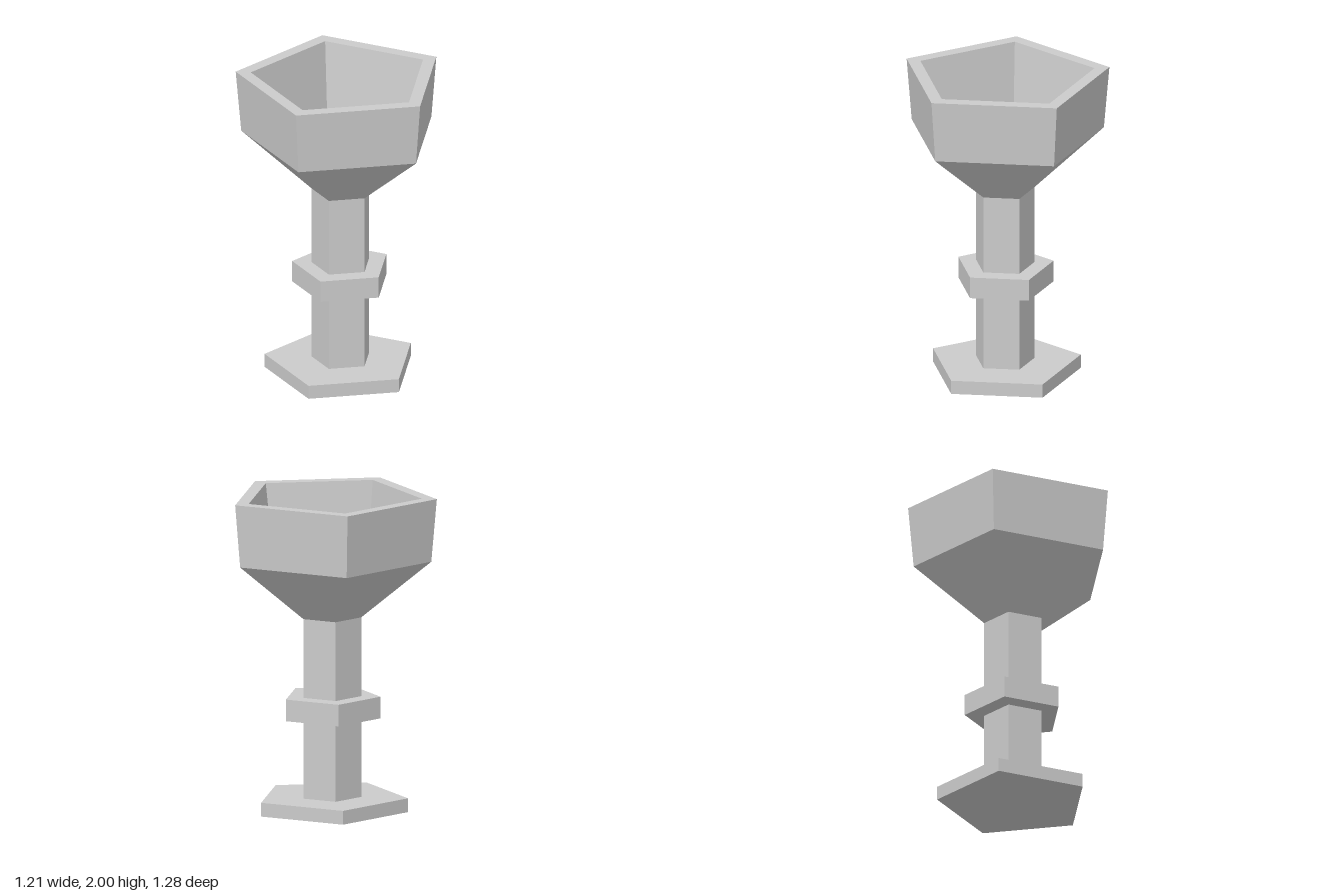
import * as THREE from 'three';

const SIDES = 5;

export function createModel() {
  const model = new THREE.Group();
  model.name = 'goblet';
  const material = new THREE.MeshStandardMaterial({ color: 0xcccccc, flatShading: true });

  // The pentagons share one axis, set back so the bowl is centred in x.
  const axisX = -0.064;

  function add(name, geometry) {
    const mesh = new THREE.Mesh(geometry, material);
    mesh.name = name;
    mesh.position.x = axisX;
    model.add(mesh);
  }

  // Pentagonal prism with one corner pointing to +x.
  function prism(name, radius, bottom, top) {
    const geometry = new THREE.CylinderGeometry(radius, radius, top - bottom, SIDES, 1, false, Math.PI / 2);
    geometry.translate(0, (bottom + top) / 2, 0);
    add(name, geometry);
  }

  prism('base', 0.489, 0, 0.088);
  prism('stem', 0.193, 0.088, 1.232);
  prism('stemCollar', 0.315, 0.592, 0.73);

  // Hollow bowl: underside, outer wall, rim, inner wall and floor.
  const bowlProfile = [
    [0, 1.232], [0.193, 1.232], [0.636, 1.6], [0.671, 2],
    [0.576, 2], [0.51, 1.535], [0, 1.535],
  ].map(([r, y]) => new THREE.Vector2(r, y));
  add('bowl', new THREE.LatheGeometry(bowlProfile, SIDES, Math.PI / 2));

  return model;
}
